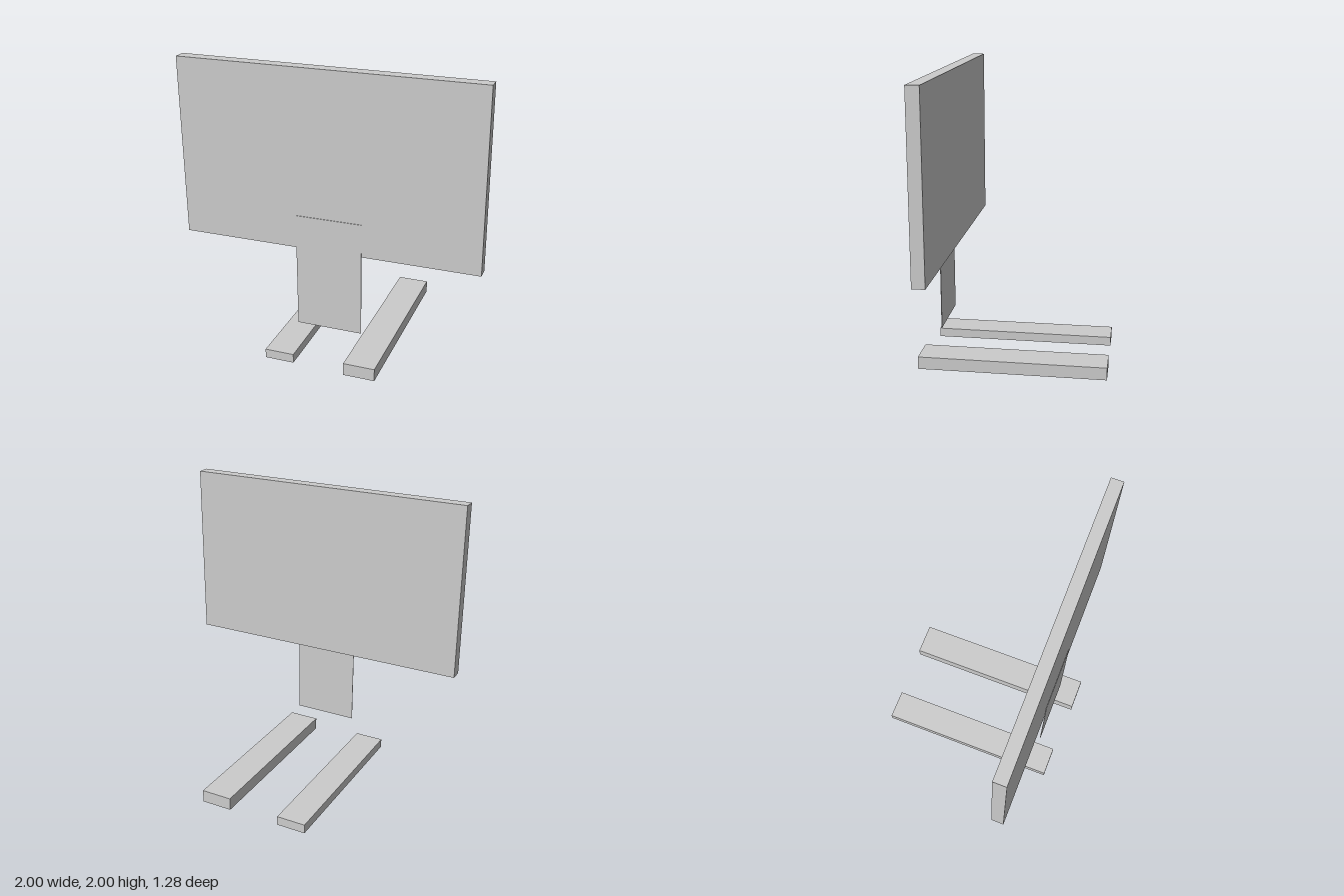
import * as THREE from 'three';

const material = new THREE.MeshStandardMaterial({ color: 0xcccccc });

// Box given by its [min, max] extent on each axis
function slab(name, [x0, x1], [y0, y1], [z0, z1]) {
  const mesh = new THREE.Mesh(new THREE.BoxGeometry(x1 - x0, y1 - y0, z1 - z0), material);
  mesh.position.set((x0 + x1) / 2, (y0 + y1) / 2, (z0 + z1) / 2);
  mesh.name = name;
  return mesh;
}

export function createModel() {
  const group = new THREE.Group();
  group.name = 'displayOnStand';
  group.add(
    // Wide upright screen
    slab('screenPanel', [-1, 1], [0.805, 2], [0.412, 0.497]),
    // Thin plate overlapping the front of the screen and hanging below it
    slab('supportPlate', [-0.213, 0.231], [0.25, 1.03], [0.498, 0.502]),
    // Two separate floor rails of slightly different size
    slab('rightFoot', [-0.41, -0.208], [0, 0.063], [-0.638, 0.616]),
    slab('leftFoot', [0.155, 0.37], [0, 0.087], [-0.64, 0.638]),
  );
  return group;
}
